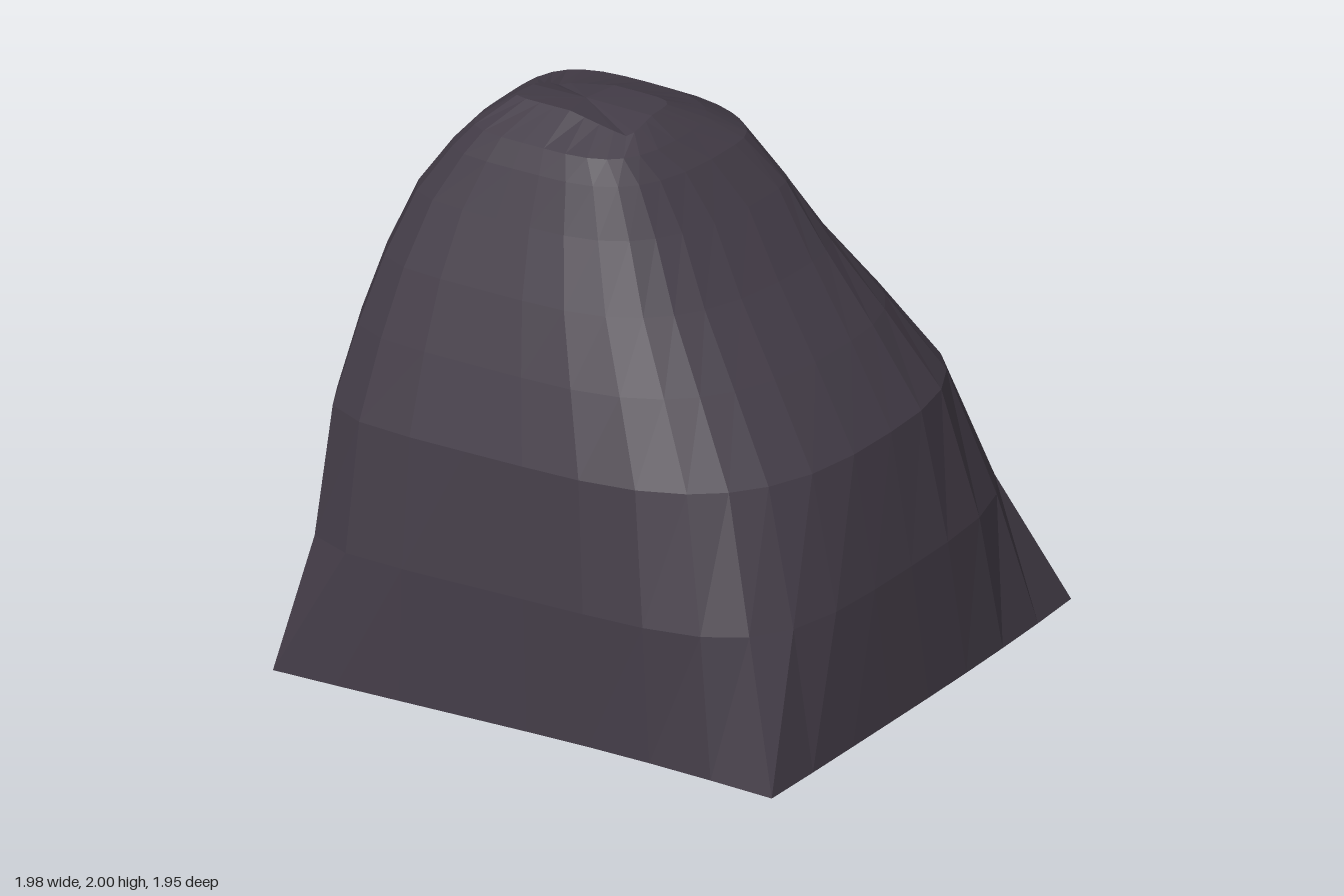
import * as THREE from 'three';

// Cross-sections: height, x min, x max, z min, z max, the squareness of the front
// left, back left, back right and front right corners, and the ridge's shift back
const SECTIONS = [
  [0.03, -0.99, 0.985, -0.975, 0.935, [300, 300, 300, 300], 0],
  [0.5, -0.985, 0.92, -0.94, 0.91, [4.6, 4, 5.4, 7.5], 0],
  [0.95, -0.975, 0.81, -0.865, 0.84, [2.9, 2.8, 3.7, 6.5], 0.05],
  [1.22, -0.925, 0.62, -0.715, 0.735, [2.6, 2.6, 3.3, 6.5], 0.12],
  [1.45, -0.865, 0.44, -0.58, 0.635, [2.5, 2.4, 3.1, 6.5], 0.18],
  [1.67, -0.785, 0.285, -0.46, 0.53, [2.5, 2.3, 3.1, 6.5], 0.22],
  [1.83, -0.68, 0.16, -0.375, 0.455, [2.7, 2.5, 3.1, 6], 0.15],
  [1.91, -0.61, 0.07, -0.23, 0.41, [3, 2.8, 3.3, 5.5], 0.07],
  [1.985, -0.49, -0.02, -0.01, 0.27, [9, 7, 7, 9], 0],
];
const PER_SIDE = 8;

// Points round the edge of a square, anticlockwise seen from above
function squarePoints() {
  const corners = [[1, 1], [1, -1], [-1, -1], [-1, 1]];
  const points = [];
  for (let c = 0; c < 4; c++) {
    const [a, b] = [corners[c], corners[(c + 1) % 4]];
    for (let i = 0; i < PER_SIDE; i++) {
      const t = i / PER_SIDE;
      points.push([a[0] + (b[0] - a[0]) * t, a[1] + (b[1] - a[1]) * t]);
    }
  }
  return points;
}

// Height offset: the ground edge dips at the +x corners; the crown tilts up to
// the front and drops at two opposite corners
function heightOffset(k, u, v) {
  if (k === 0) return u > 0 ? -0.03 * u * u * v * v * (v > 0 ? 1 : 0.4) : 0;
  if (k < SECTIONS.length - 1) return 0;
  return 0.015 * Math.max(0, v) - 0.045 * Math.max(0, u * v);
}

function rockGeometry() {
  const outline = squarePoints();
  const count = outline.length;
  const positions = [];
  const index = [];

  SECTIONS.forEach(([y, x0, x1, z0, z1, square, shift], k) => {
    const fade = Math.max(0, 1 - y / 1.2);
    for (const [u, v] of outline) {
      const n = square[u > 0 ? (v > 0 ? 0 : 1) : (v > 0 ? 3 : 2)];
      const r = Math.pow(Math.abs(u) ** n + Math.abs(v) ** n, -1 / n);
      const [px, pz] = [u * r, v * r];
      let x = (x0 + x1) / 2 + px * (x1 - x0) / 2;
      let z = (z0 + z1) / 2 + pz * (z1 - z0) / 2;
      // The front edge runs askew and the +x edge bows out near the ground
      if (pz > 0) z -= 0.04 * px * pz * fade;
      if (px > 0) {
        x -= 0.04 * px * pz * pz * fade;
        z -= shift * px * px * (1 - Math.abs(pz));
      }
      positions.push(x, y + heightOffset(k, u, v), z);
    }
  });

  // Walls
  for (let k = 0; k < SECTIONS.length - 1; k++) {
    for (let i = 0; i < count; i++) {
      const j = (i + 1) % count;
      const a = k * count + i, b = k * count + j;
      index.push(a, b, b + count, a, b + count, a + count);
    }
  }

  // Crown and underside
  const top = positions.length / 3;
  positions.push(-0.28, 1.988, 0.13, 0, 0.03, 0);
  const last = (SECTIONS.length - 1) * count;
  for (let i = 0; i < count; i++) {
    const j = (i + 1) % count;
    index.push(last + i, last + j, top, j, i, top + 1);
  }

  const geometry = new THREE.BufferGeometry();
  geometry.setAttribute('position', new THREE.Float32BufferAttribute(positions, 3));
  geometry.setIndex(index);
  geometry.computeVertexNormals();
  return geometry;
}

export function createModel() {
  const group = new THREE.Group();
  const material = new THREE.MeshStandardMaterial({ color: 0x433c47, flatShading: true });
  const rock = new THREE.Mesh(rockGeometry(), material);
  rock.name = 'rock';
  group.add(rock);
  return group;
}
